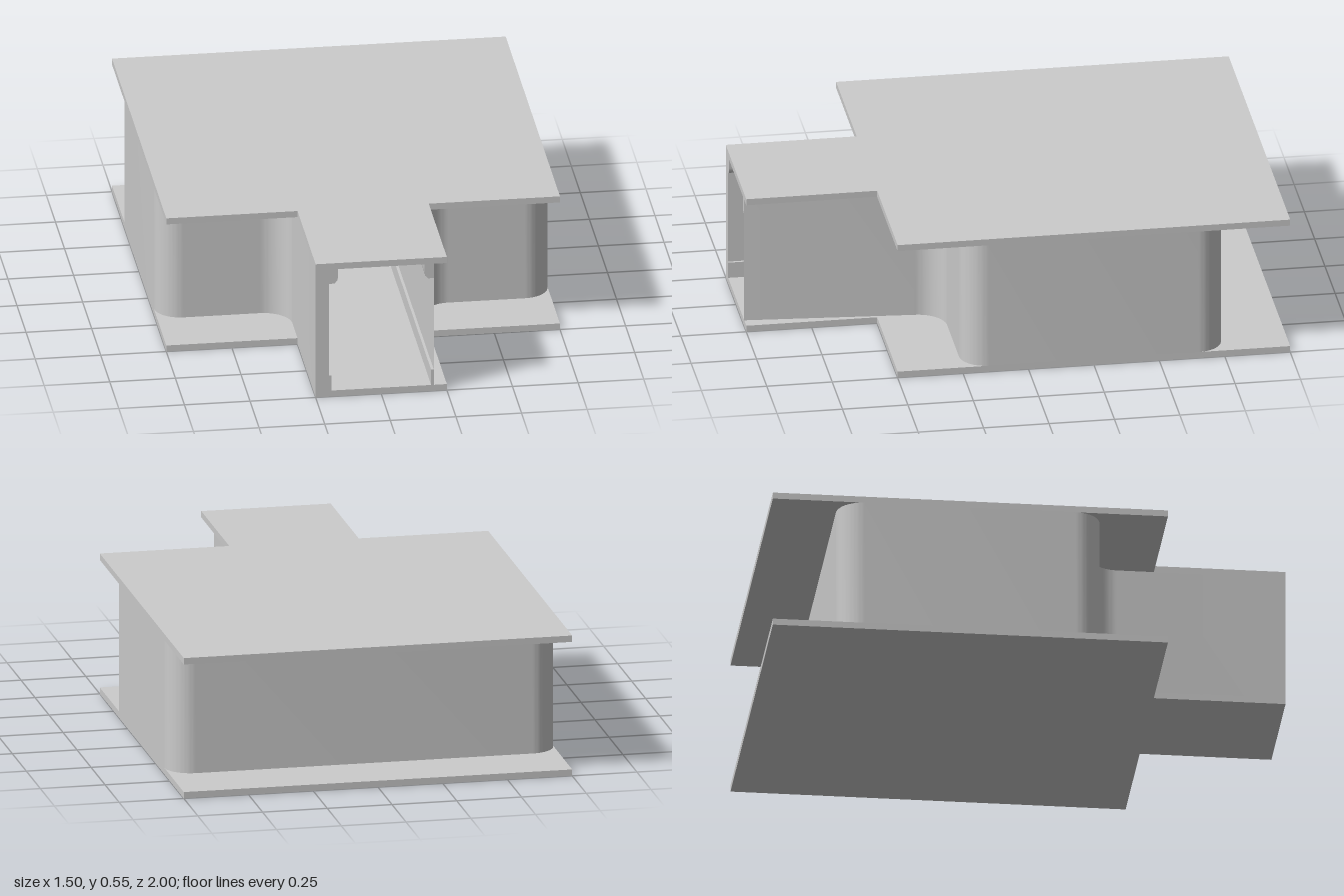
import * as THREE from 'three';
import { toCreasedNormals } from 'three/addons/utils/BufferGeometryUtils.js';

const material = new THREE.MeshStandardMaterial({ color: 0xcccccc });

// Extrude a shape and keep only its sharp edges creased
function extrude(shape, depth) {
  const geo = new THREE.ExtrudeGeometry(shape, { depth, bevelEnabled: false, curveSegments: 12 });
  return toCreasedNormals(geo, Math.PI / 6);
}

function polygon(points) {
  return new THREE.Shape(points.map(([x, y]) => new THREE.Vector2(x, y)));
}

export function createModel() {
  const group = new THREE.Group();
  const H = 0.55, T = 0.025, tunnelEnd = -0.5;

  function add(name, geo) {
    const mesh = new THREE.Mesh(geo, material);
    mesh.name = name;
    group.add(mesh);
    return mesh;
  }

  // Plan shapes use x and -z, then are laid flat
  function addFlat(name, shape, y, height) {
    add(name, extrude(shape, height).rotateX(-Math.PI / 2).translate(0, y, 0));
  }

  // Floor and roof plates: wide room plus narrow corridor
  const plate = polygon([
    [0.25, -1], [0.25, -0.5], [0.75, -0.5], [0.75, 1],
    [-0.75, 1], [-0.75, -0.5], [-0.25, -0.5], [-0.25, -1],
  ]);
  addFlat('floorPlate', plate, 0, T);
  addFlat('roofPlate', plate, H - T, T);

  // Room walls with rounded corners, filleted into the corridor, with a tunnel slot
  const r = 0.1, f = 0.11, P = Math.PI;
  const walls = new THREE.Shape();
  walls.moveTo(0.25, -1);
  walls.absarc(0.25 + f, -0.25 - f, f, P, P / 2, true);
  walls.absarc(0.75 - r, -0.25 + r, r, -P / 2, 0, false);
  walls.absarc(0.75 - r, 0.75 - r, r, 0, P / 2, false);
  walls.absarc(-0.75 + r, 0.75 - r, r, P / 2, P, false);
  walls.absarc(-0.75 + r, -0.25 + r, r, P, 1.5 * P, false);
  walls.absarc(-0.25 - f, -0.25 - f, f, P / 2, 0, true);
  for (const [x, s] of [[-0.25, -1], [-0.2, -1], [-0.2, -tunnelEnd], [0.2, -tunnelEnd], [0.2, -1]]) {
    walls.lineTo(x, s);
  }
  addFlat('walls', walls, T, H - 2 * T);

  // Lower skirting and upper ledges running along both tunnel sides
  const length = 1 - tunnelEnd;
  for (const [side, label] of [[1, 'left'], [-1, 'right']]) {
    const skirting = polygon([[0.19, T], [0.2, T], [0.2, 0.088], [0.19, 0.088]].map(([x, y]) => [x * side, y]));
    add(label + 'Skirting', extrude(skirting, length).translate(0, 0, tunnelEnd));
    const ledge = polygon([
      [0.165, H - T], [0.165, 0.49], [0.168, 0.478], [0.178, 0.466], [0.2, 0.466], [0.2, H - T],
    ].map(([x, y]) => [x * side, y]));
    add(label + 'Ledge', extrude(ledge, length).translate(0, 0, tunnelEnd));
  }

  // Concave cove where the tunnel ceiling meets its end wall
  const c = 0.059;
  const cove = new THREE.Shape();
  cove.moveTo(0, H - T);
  cove.lineTo(0, H - T - c);
  cove.absarc(c, H - T - c, c, P, P / 2, true);
  add('ceilingCove', extrude(cove, 0.33).rotateY(-P / 2).translate(0.165, 0, tunnelEnd));

  return group;
}
